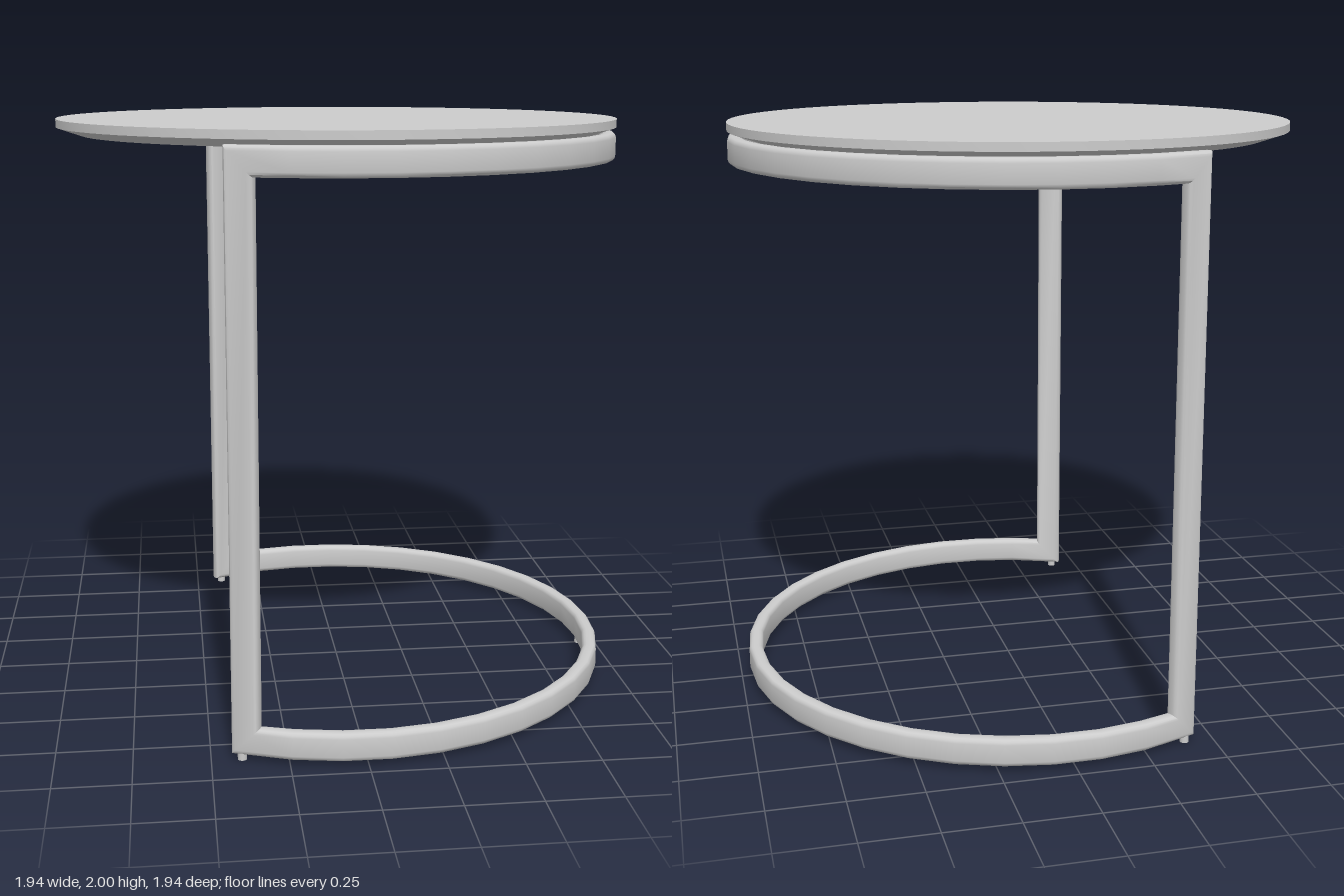
import * as THREE from 'three';
import { toCreasedNormals } from 'three/addons/utils/BufferGeometryUtils.js';

const RING_R = 0.945;               // centre line radius of the rings
const TUBE_W = 0.05, TUBE_H = 0.095; // tube section
const LOW_Y = 0.067, HIGH_Y = 1.908; // ring centre heights
const END = Math.acos(-0.385 / RING_R); // angle at which the rings turn into legs

// Rounded rectangle section, counter-clockwise, as [radial, inward] pairs
function tubeSection(w, h, r, steps = 3) {
  const pts = [];
  [[1, 1], [-1, 1], [-1, -1], [1, -1]].forEach(([sx, sy], corner) => {
    for (let k = 0; k <= steps; k++) {
      const t = (corner + k / steps) * Math.PI / 2;
      pts.push([sx * (w / 2 - r) + r * Math.cos(t), sy * (h / 2 - r) + r * Math.sin(t)]);
    }
  });
  return pts;
}

// One closed tube: lower arc, leg, upper arc, leg, with mitred corners
function frameGeometry() {
  const section = tubeSection(TUBE_W, TUBE_H, 0.017);
  const segments = 24, n = section.length;
  const stations = [];
  for (const side of [1, -1]) {
    for (let i = 0; i <= segments; i++) {
      const t = side * END * (2 * i / segments - 1);
      const inward = new THREE.Vector3(0, side, 0);
      if (i === 0 || i === segments) {
        // mitre: add the direction pointing back along the arc
        const s = Math.sign(t);
        inward.add(new THREE.Vector3(s * Math.sin(t), 0, -s * Math.cos(t)));
      }
      stations.push({ t, y: side > 0 ? LOW_Y : HIGH_Y, inward });
    }
  }
  const positions = [], index = [];
  for (const { t, y, inward } of stations) {
    const radial = new THREE.Vector3(Math.cos(t), 0, Math.sin(t));
    for (const [a, b] of section) {
      const p = radial.clone().multiplyScalar(RING_R + a).addScaledVector(inward, b);
      positions.push(p.x, p.y + y, p.z);
    }
  }
  const m = stations.length;
  for (let i = 0; i < m; i++) {
    const i2 = (i + 1) % m;
    for (let j = 0; j < n; j++) {
      const j2 = (j + 1) % n;
      const a = i * n + j, b = i * n + j2, c = i2 * n + j2, d = i2 * n + j;
      index.push(a, b, c, a, c, d);
    }
  }
  const geometry = new THREE.BufferGeometry();
  geometry.setAttribute('position', new THREE.Float32BufferAttribute(positions, 3));
  geometry.setIndex(index);
  return toCreasedNormals(geometry, 0.7);
}

export function createModel() {
  const group = new THREE.Group();
  group.name = 'sideTable';
  const metal = new THREE.MeshStandardMaterial({ color: 0xcccccc });
  metal.name = 'lightGrey';

  const add = (name, geometry) => {
    const mesh = new THREE.Mesh(geometry, metal);
    mesh.name = name;
    group.add(mesh);
    return mesh;
  };

  // Round top with a bevelled underside
  const profile = [[0, 1.945], [0.89, 1.945], [0.97, 1.972], [0.97, 2], [0, 2]]
    .map(([x, y]) => new THREE.Vector2(x, y));
  add('tableTop', toCreasedNormals(new THREE.LatheGeometry(profile, 72), 0.25));

  // Open C-shaped frame
  add('frame', frameGeometry());

  // Small feet under the lower ring
  for (const [x, z] of [[-0.4, 0.86], [-0.4, -0.86], [0.94, 0]]) {
    add('foot', new THREE.CylinderGeometry(0.015, 0.015, 0.03, 16)).position.set(x, 0.015, z);
  }
  return group;
}
